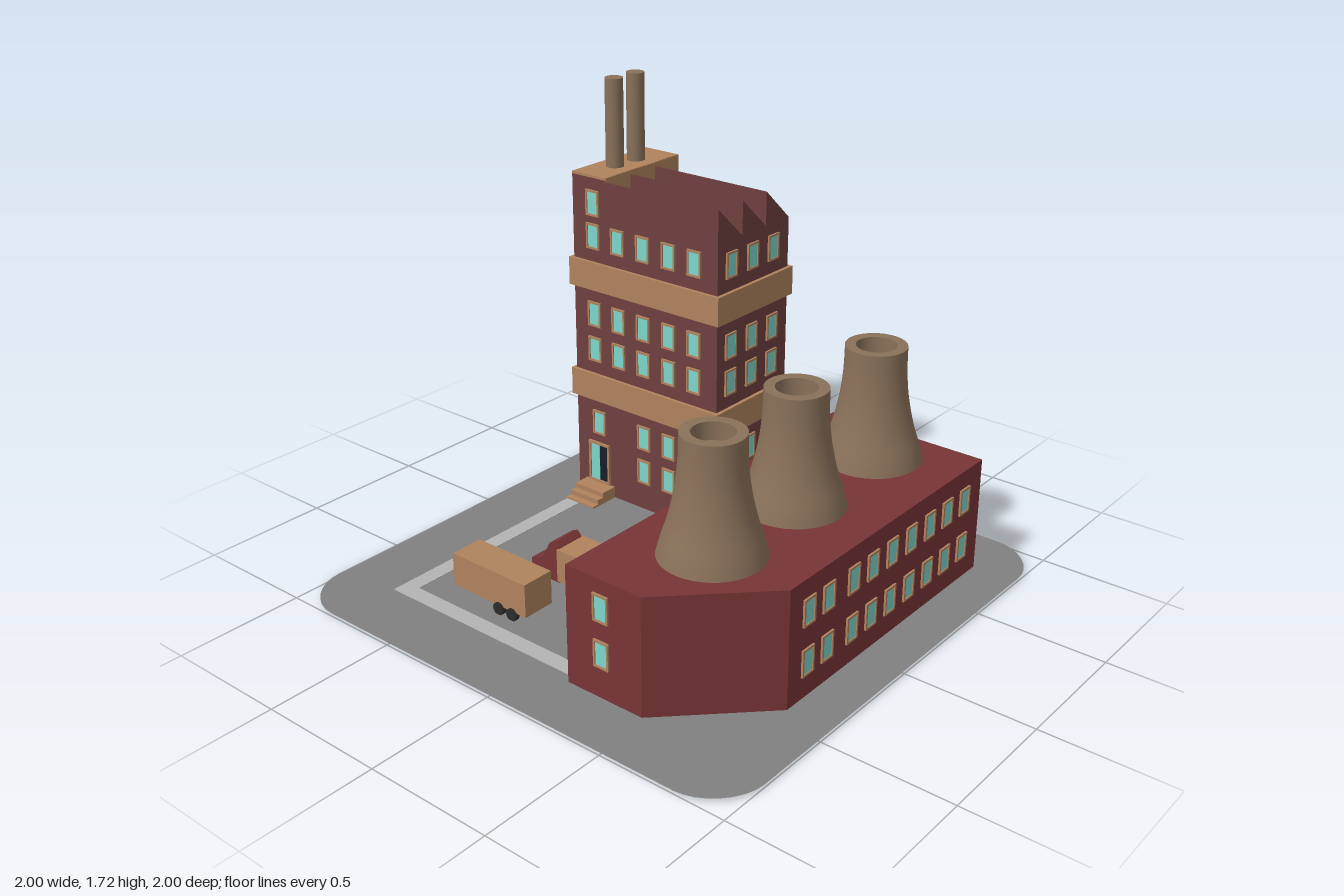
import * as THREE from 'three';

const mat = (color, opts = {}) => new THREE.MeshStandardMaterial({ color, ...opts });
const M = {
  ground: mat(0x808080, { side: THREE.DoubleSide }),
  path: mat(0xb4b4b4),
  brick: mat(0x704040),
  red: mat(0x783436),
  tan: mat(0xb0835d),
  stack: mat(0x8a715a),
  glass: mat(0x7dd6cc),
  dark: mat(0x1a1d26),
  tyre: mat(0x2b2b2b),
};

function add(parent, name, geo, material, x = 0, y = 0, z = 0) {
  const m = new THREE.Mesh(geo, material);
  m.name = name;
  m.position.set(x, y, z);
  parent.add(m);
  return m;
}

// Box given by its limits on each axis
function box(parent, name, material, x0, x1, y0, y1, z0, z1) {
  return add(parent, name, new THREE.BoxGeometry(x1 - x0, y1 - y0, z1 - z0), material,
    (x0 + x1) / 2, (y0 + y1) / 2, (z0 + z1) / 2);
}

function group(parent, name) {
  const g = new THREE.Group();
  g.name = name;
  parent.add(g);
  return g;
}

const polygon = (pts) => new THREE.Shape(pts.map(([x, y]) => new THREE.Vector2(x, y)));
const extrude = (shape, depth) => new THREE.ExtrudeGeometry(shape, { depth, bevelEnabled: false });

// Plan outline in (x, z), raised from y0 to y1
const slab = (pts, y0, y1) => extrude(polygon(pts), y1 - y0).rotateX(Math.PI / 2).translate(0, y1, 0);

// Rectangular frame with an opening, standing on the xy plane
function frameGeometry(w, h, border, depth) {
  const rect = (a, b) => [[-a, -b], [a, -b], [a, b], [-a, b]];
  const s = polygon(rect(w / 2, h / 2));
  s.holes.push(polygon(rect(w / 2 - border, h / 2 - border)));
  return extrude(s, depth);
}

const windowFrame = frameGeometry(0.066, 0.104, 0.008, 0.008);
const windowGlass = new THREE.BoxGeometry(0.052, 0.09, 0.008);

function addWindow(parent, x, y, z, turn) {
  const g = group(parent, 'window');
  add(g, 'windowFrame', windowFrame, M.tan);
  add(g, 'windowGlass', windowGlass, M.glass);
  g.position.set(x, y, z);
  g.rotation.y = turn;
}

function buildGround(root) {
  const r = 0.2, s = new THREE.Shape();
  s.moveTo(-1 + r, -1);
  s.lineTo(1 - r, -1);
  s.bezierCurveTo(0.9, -1, 1, -0.9, 1, -1 + r);
  s.lineTo(1, 1 - r);
  s.bezierCurveTo(1, 0.9, 0.9, 1, 1 - r, 1);
  s.lineTo(-1 + r, 1);
  s.bezierCurveTo(-0.9, 1, -1, 0.9, -1, 1 - r);
  s.lineTo(-1, -1 + r);
  s.bezierCurveTo(-1, -0.9, -0.9, -1, -1 + r, -1);
  add(root, 'ground', new THREE.ShapeGeometry(s, 8).rotateX(-Math.PI / 2), M.ground, 0, 0.012, 0);
  add(root, 'path', slab([[-0.75, -0.2], [-0.685, -0.2], [-0.685, 0.68], [0.17, 0.68],
    [0.17, 0.745], [-0.75, 0.745]], 0.01, 0.014), M.path);
}

function buildTower(root) {
  const g = group(root, 'tower');
  const x0 = -0.8, x1 = -0.08, xs = -0.63, z0 = -0.77, z1 = -0.33;
  box(g, 'towerBase', M.tan, x0, x1, 0, 0.008, z0, z1);
  box(g, 'stairTower', M.brick, x0, xs, 0.008, 1.36, z0, z1);
  box(g, 'stairTowerRoof', M.tan, x0, xs, 1.36, 1.37, z0, z1);
  box(g, 'stairTowerSide', M.tan, xs - 0.01, xs + 0.002, 1.2, 1.369, z0 + 0.001, z1 - 0.001);

  // Main block with saw-tooth roof, drawn from the side in (-z, y)
  const saw = [[-z0, 0.008]];
  const step = (z1 - z0) / 3;
  for (let i = 0; i < 3; i++) saw.push([-z0 - i * step, 1.22], [-z0 - (i + 1) * step, 1.355]);
  saw.push([-z1, 0.008]);
  const block = extrude(polygon(saw.reverse()), x1 - xs).rotateY(Math.PI / 2);
  add(g, 'sawToothBlock', block, M.brick, xs, 0, 0);

  for (const [a, b] of [[0.43, 0.545], [0.905, 1.02]])
    box(g, 'band', M.tan, x0 - 0.015, x1 + 0.015, a, b, z0 - 0.015, z1 + 0.015);

  for (const z of [-0.61, -0.485])
    add(g, 'chimney', new THREE.CylinderGeometry(0.036, 0.036, 0.36, 24), M.stack, -0.715, 1.54, z);

  // Windows on all four sides
  const cols = [-0.695, -0.57, -0.443, -0.315, -0.19];
  const rows = [0.18, 0.33, 0.65, 0.8, 1.125];
  for (const y of rows) {
    cols.forEach((x, i) => {
      addWindow(g, x, y, z0, Math.PI);
      if (y > 0.5 || i > 1) addWindow(g, x, y, z1, 0);
    });
    for (const z of [-0.41, -0.54, -0.67]) {
      addWindow(g, x1, y, z, Math.PI / 2);
      addWindow(g, x0, y, z, -Math.PI / 2);
    }
  }
  addWindow(g, -0.68, 0.33, z1, 0);
  addWindow(g, -0.695, 1.26, z1, 0);

  // Entrance with one leaf open
  add(g, 'doorFrame', frameGeometry(0.11, 0.18, 0.01, 0.01), M.tan, -0.682, 0.15, z1);
  box(g, 'doorLeaf', M.glass, -0.728, -0.682, 0.07, 0.23, z1 - 0.004, z1 + 0.005);
  box(g, 'doorOpening', M.dark, -0.682, -0.636, 0.07, 0.23, z1 - 0.004, z1 + 0.003);
  [-0.255, -0.225, -0.195].forEach((z, i) =>
    box(g, 'step', M.tan, -0.755, -0.605, i ? 0.06 - 0.02 * i - 0.02 : 0, 0.06 - 0.02 * i,
      i ? -0.3 : z1, z));
}

function buildHall(root) {
  const g = group(root, 'hall');
  add(g, 'hallBody', slab([[0.16, -0.77], [0.825, -0.77], [0.825, 0.44], [0.485, 0.775],
    [0.16, 0.775]], 0.008, 0.465), M.red);
  for (const y of [0.15, 0.342]) {
    for (const z of [0.334, 0.222, 0.075, -0.042, -0.163, -0.286, -0.41, -0.53, -0.652])
      addWindow(g, 0.825, y, z, Math.PI / 2);
    for (const x of [0.25, 0.37, 0.49, 0.615, 0.74]) addWindow(g, x, y, -0.77, Math.PI);
  }
  for (const y of [0.183, 0.358]) addWindow(g, 0.315, y, 0.775, 0);

  // Cooling towers: flared shell, broad rim and recessed mouth
  const shell = new THREE.SplineCurve([[0.19, 0], [0.176, 0.055], [0.149, 0.14], [0.126, 0.25],
    [0.116, 0.35], [0.114, 0.447]].map((p) => new THREE.Vector2(...p))).getPoints(16);
  const mouth = [[0.114, 0.447], [0.075, 0.447], [0.075, 0.38], [0, 0.38]];
  for (const [x, z] of [[0.49, -0.535], [0.487, -0.045], [0.487, 0.413]]) {
    const t = group(g, 'coolingTower');
    t.position.set(x, 0.464, z);
    add(t, 'shell', new THREE.LatheGeometry(shell, 40), M.stack);
    for (let i = 0; i < 3; i++) {
      const pts = mouth.slice(i, i + 2).map((p) => new THREE.Vector2(...p));
      add(t, ['rim', 'innerWall', 'innerFloor'][i], new THREE.LatheGeometry(pts, 40), M.stack);
    }
  }
}

function addWheels(parent, xs, z0, z1) {
  const wheel = new THREE.CylinderGeometry(0.025, 0.025, 0.018, 16).rotateX(Math.PI / 2);
  for (const x of xs) for (const z of [z0, z1]) add(parent, 'wheel', wheel, M.tyre, x, 0.034, z);
}

function buildTrailers(root) {
  const truck = group(root, 'truck');
  box(truck, 'trailer', M.tan, -0.285, 0.09, 0.045, 0.178, 0.215, 0.355);
  addWheels(truck, [-0.05, 0.015], 0.217, 0.353);
  const cab = polygon([[-0.42, 0.035], [-0.28, 0.035], [-0.28, 0.18], [-0.3, 0.2], [-0.325, 0.19],
    [-0.365, 0.115], [-0.42, 0.095]]);
  add(truck, 'cab', extrude(cab, 0.125), M.red, 0, 0, 0.223);
  addWheels(truck, [-0.36], 0.222, 0.349);

  const parked = group(root, 'parkedTrailer');
  box(parked, 'trailer', M.tan, -0.56, -0.195, 0.045, 0.178, 0.48, 0.615);
  addWheels(parked, [-0.328, -0.262], 0.482, 0.613);
}

export function createModel() {
  const root = new THREE.Group();
  root.name = 'factory';
  buildGround(root);
  buildTower(root);
  buildHall(root);
  buildTrailers(root);
  return root;
}
